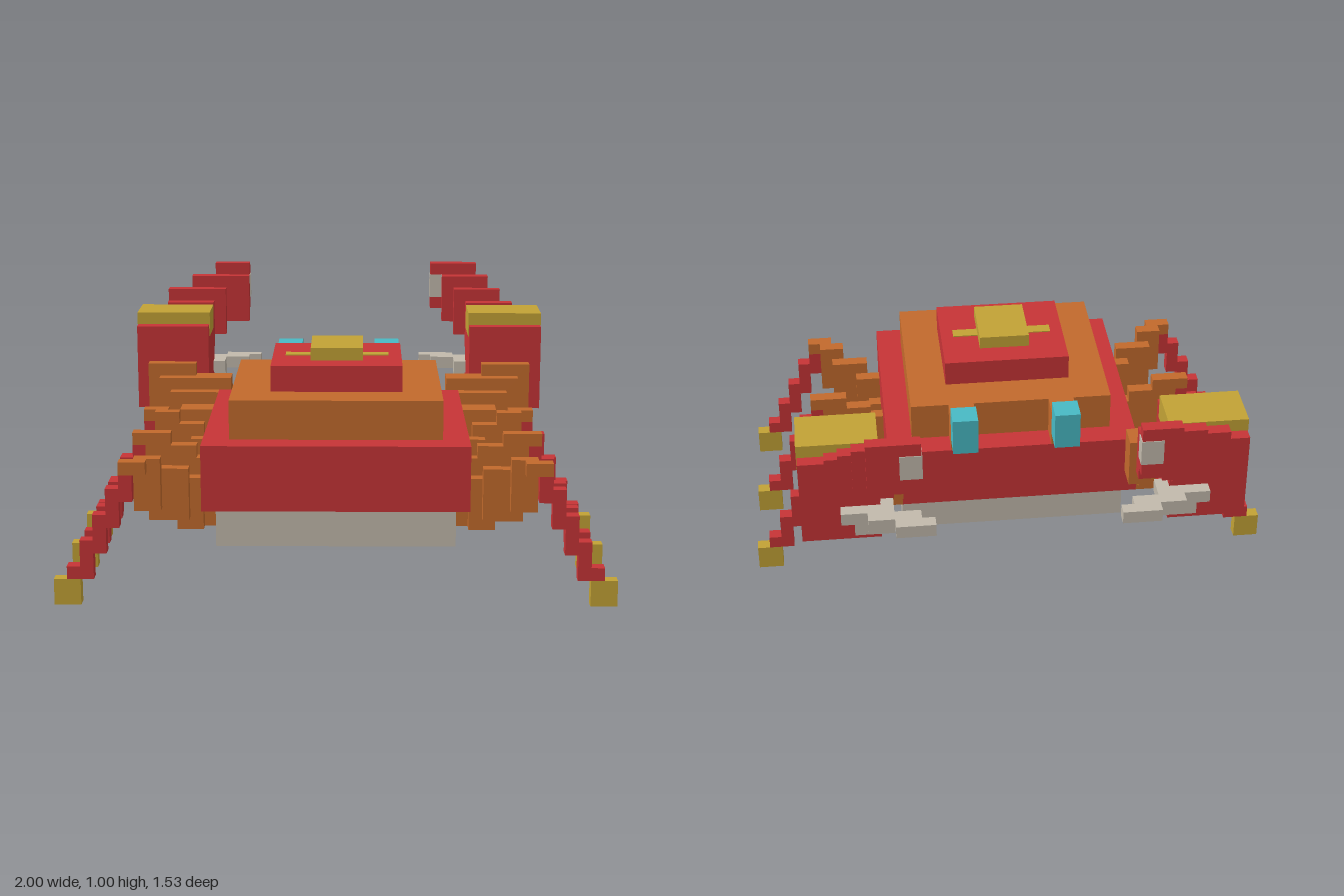
import * as THREE from 'three';

const U = 1 / 21; // one block
const mat = (name, hex) => {
  const m = new THREE.MeshStandardMaterial({ color: hex });
  m.name = name;
  return m;
};

export function createModel() {
  const red = mat('shell red', 0xc63436);
  const orange = mat('joint orange', 0xc26a2c);
  const gold = mat('gold', 0xc2a235);
  const bone = mat('bone', 0xc2baac);
  const cyan = mat('eye cyan', 0x48bac4);
  const model = new THREE.Group();
  model.name = 'crab';

  // Block given by its bounds in block units; side -1 mirrors it in x
  const block = (parent, name, material, [x0, x1, y0, y1, z0, z1], side = 1) => {
    const geo = new THREE.BoxGeometry((x1 - x0) * U, (y1 - y0) * U, (z1 - z0) * U);
    const mesh = new THREE.Mesh(geo, material);
    mesh.name = name;
    mesh.position.set(side * (x0 + x1) / 2 * U, (y0 + y1) / 2 * U, (z0 + z1) / 2 * U);
    parent.add(mesh);
  };
  const group = (name) => {
    const g = new THREE.Group();
    g.name = name;
    model.add(g);
    return g;
  };

  // Stepped body and shell
  const body = group('body');
  block(body, 'belly', bone, [-9, 9, 4, 7, -3, 14]);
  block(body, 'lowerShell', red, [-10, 10, 7, 12, -4, 15]);
  block(body, 'middleShell', orange, [-8, 8, 12, 15, -2, 13]);
  block(body, 'upperShell', red, [-5, 5, 15, 17, 1, 10]);
  block(body, 'shellCap', gold, [-2, 2, 17, 18, 3, 8]);
  block(body, 'shellStripe', gold, [-4, 4, 17, 17.08, 5, 6]);

  // Thigh steps: x and y bounds, climbing from hip to knee
  const thigh = [[9, 11, 5, 7], [10, 12, 5, 9], [11, 14, 6, 10], [13, 15, 7, 11], [14, 16, 10, 11]];
  // Near z of each thigh step, per leg; the last is also the shin's
  const legs = {
    frontLeg: [11, 12, 13, 14, 15],
    middleLeg: [6, 6, 6, 6, 6],
    rearLeg: [1, 0, -1, -1, -2],
  };

  for (const side of [1, -1]) {
    const s = side > 0 ? 'left' : 'right';

    for (const [name, zs] of Object.entries(legs)) {
      const leg = group(`${s} ${name}`);
      thigh.forEach((b, i) => block(leg, 'thigh', orange, [...b, zs[i], zs[i] + 1], side));
      const z = [zs[4], zs[4] + 1];
      block(leg, 'shin', red, [15, 16, 8, 10, ...z], side);
      for (let k = 0; k < 3; k++) {
        block(leg, 'shin', red, [16 + k, 17 + k, 6 - 2 * k, 9 - 2 * k, ...z], side);
      }
      block(leg, 'ankle', red, [19, 20, 2, 3, ...z], side);
      block(leg, 'foot', gold, [19, 21, 0, 2, ...z], side);
    }

    // Eye on its stalk
    const eye = group(`${s} eye`);
    block(eye, 'eyeStalk', orange, [3, 5, 12, 15, -4, -2], side);
    block(eye, 'eyeball', cyan, [3, 5, 13, 16, -6, -4], side);

    // Arm climbing outward to the claw
    const arm = group(`${s} arm`);
    const armSteps = [
      [9, 13, 7, 11, -4, -1], [10, 14, 8, 12, -5, -3], [9, 12, 9, 13, -6, -4],
      [11, 15, 9, 13, -6, -4], [12, 16, 10, 14, -6, -5],
    ];
    armSteps.forEach((b) => block(arm, 'armStep', orange, b, side));

    // Claw with its cap wrapping slightly over the sides
    const claw = group(`${s} claw`);
    block(claw, 'palm', red, [11, 17, 10, 17, -12, -6], side);
    block(claw, 'palmCap', gold, [10.94, 17.06, 16, 18, -11, -7], side);

    // Upper pincer, rising and curling inward
    const upper = side > 0
      ? [[11, 15], [10, 14], [9, 13], [8, 12]]
      : [[11, 15], [10, 15], [8, 13], [8, 11]];
    upper.forEach(([x0, x1], i) =>
      block(claw, 'upperPincer', red, [x0, x1, 14 + i, 18 + i, -13 - i, -12 - i], side));
    block(claw, 'pincerTip', bone, [7.94, 9.6, 18, 20, -16.06, -14.94], side);

    // Lower pincer
    block(claw, 'lowerPincer', bone, [10, 14, 12, 13, -13, -11], side);
    block(claw, 'lowerPincerRoot', bone, [10, 13, 11, 12, -13, -12], side);
    block(claw, 'lowerPincer', bone, [8, 12, 12, 13, -14, -13], side);
    block(claw, 'lowerPincerTip', bone, [7, 10, 12, 13, -15, -14], side);
  }
  return model;
}
